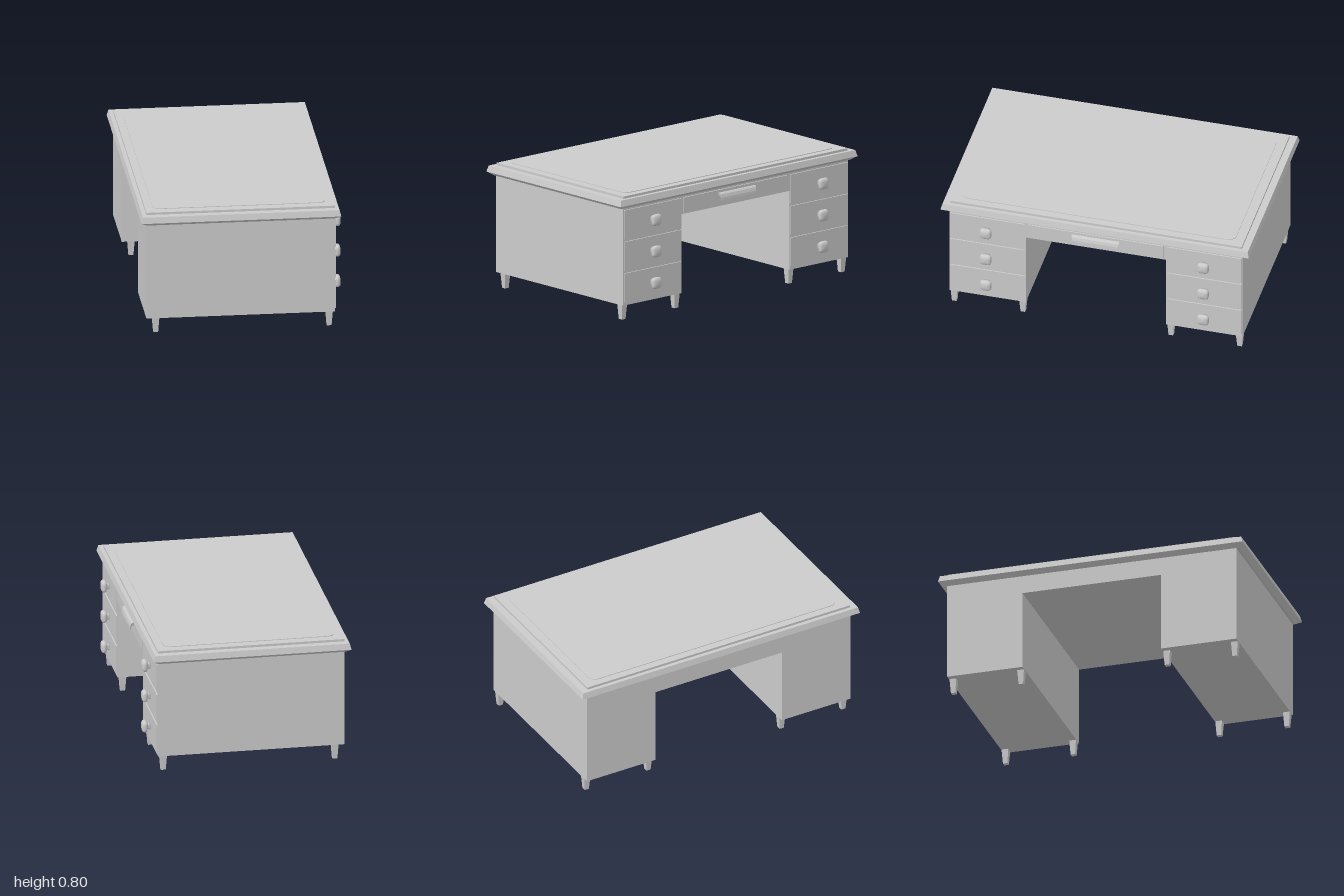
import * as THREE from 'three';

const material = new THREE.MeshStandardMaterial({ color: 0xcccccc });

export function createModel() {
  const desk = new THREE.Group();

  function add(name, geometry, x = 0, y = 0, z = 0, parent = desk) {
    const mesh = new THREE.Mesh(geometry, material);
    mesh.name = name;
    mesh.position.set(x, y, z);
    parent.add(mesh);
    return mesh;
  }

  // box given by its limits; grow widens (or narrows) the top outline in x and z
  function block(name, [x0, x1], [y0, y1], [z0, z1], grow = 0, parent = desk) {
    const geometry = new THREE.BoxGeometry(x1 - x0, y1 - y0, z1 - z0);
    const p = geometry.attributes.position;
    for (let i = 0; i < p.count; i++) {
      if (p.getY(i) < 0) continue;
      p.setX(i, p.getX(i) + Math.sign(p.getX(i)) * grow);
      p.setZ(i, p.getZ(i) + Math.sign(p.getZ(i)) * grow);
    }
    geometry.computeVertexNormals();
    return add(name, geometry, (x0 + x1) / 2, (y0 + y1) / 2, (z0 + z1) / 2, parent);
  }

  // Moulded top: sloping underside, tapered edge, raised board
  block('topUnderside', [-0.61, 0.58], [0.722, 0.746], [-0.965, 0.965], 0.035);
  block('topEdge', [-0.645, 0.615], [0.746, 0.785], [-1, 1], -0.01);
  block('topBoard', [-0.61, 0.58], [0.785, 0.8], [-0.945, 0.945]);

  // Writing pad with rounded corners
  const [w, d, r] = [0.545, 0.885, 0.055];
  const padShape = new THREE.Shape();
  padShape.moveTo(-w + r, -d);
  padShape.lineTo(w - r, -d);
  padShape.quadraticCurveTo(w, -d, w, -d + r);
  padShape.lineTo(w, d - r);
  padShape.quadraticCurveTo(w, d, w - r, d);
  padShape.lineTo(-w + r, d);
  padShape.quadraticCurveTo(-w, d, -w, d - r);
  padShape.lineTo(-w, -d + r);
  padShape.quadraticCurveTo(-w, -d, -w + r, -d);
  const padGeometry = new THREE.ExtrudeGeometry(padShape, { depth: 0.004, bevelEnabled: false, curveSegments: 6 });
  padGeometry.rotateX(-Math.PI / 2);
  add('writingPad', padGeometry, -0.015, 0.8, 0);

  // Knob: turned profile squeezed to a rounded square, pointing along +x
  const profile = [[0, 0], [0.021, 0], [0.018, 0.008], [0.018, 0.018], [0.029, 0.02], [0.035, 0.025],
    [0.037, 0.033], [0.035, 0.043], [0.028, 0.05], [0.014, 0.053], [0, 0.054]];
  const knobGeometry = new THREE.LatheGeometry(profile.map(([a, b]) => new THREE.Vector2(a, b)), 32);
  const kp = knobGeometry.attributes.position;
  for (let i = 0; i < kp.count; i++) {
    const [x, z] = [kp.getX(i), kp.getZ(i)];
    const radius = Math.hypot(x, z);
    if (radius < 1e-6) continue;
    const k = radius / Math.pow(x ** 4 + z ** 4, 0.25);
    kp.setX(i, x * k);
    kp.setZ(i, z * k);
  }
  knobGeometry.computeVertexNormals();
  knobGeometry.rotateZ(-Math.PI / 2);

  // Two pedestals with drawers and tapered feet
  for (const side of [1, -1]) {
    const pedestal = new THREE.Group();
    pedestal.name = side > 0 ? 'leftPedestal' : 'rightPedestal';
    desk.add(pedestal);
    const span = (a, b) => (side > 0 ? [a, b] : [-b, -a]);

    block('pedestalBody', [-0.61, 0.58], [0.095, 0.723], span(0.455, 0.95), 0, pedestal);
    for (let i = 0; i < 3; i++) {
      const y = 0.21 + i * 0.204;
      block('drawerFront', [0.578, 0.588], [y - 0.095, y + 0.093], span(0.463, 0.943), 0, pedestal);
      add('drawerKnob', knobGeometry, 0.588, y, side * 0.705, pedestal);
    }
    for (const x of [-0.55, 0.545]) {
      for (const z of [0.48, 0.925]) {
        block('foot', [x - 0.015, x + 0.015], [0, 0.096], span(z - 0.015, z + 0.015), 0.007, pedestal);
      }
    }
  }

  // Middle drawer box over the kneehole
  block('middleDrawerBox', [-0.61, 0.58], [0.605, 0.723], [-0.456, 0.456]);
  block('middleDrawerFront', [0.578, 0.588], [0.615, 0.712], [-0.44, 0.44]);

  // Hooded pull, narrowing towards its lower lip
  const pullShape = new THREE.Shape([[0, 0.695], [0, 0.675], [0.01, 0.672], [0.017, 0.662], [0.019, 0.648],
    [0.025, 0.648], [0.024, 0.665], [0.018, 0.685], [0.01, 0.694]].map(([a, b]) => new THREE.Vector2(a, b)));
  const pullGeometry = new THREE.ExtrudeGeometry(pullShape, { depth: 0.31, bevelEnabled: false });
  pullGeometry.translate(0, 0, -0.155);
  const pp = pullGeometry.attributes.position;
  for (let i = 0; i < pp.count; i++) {
    pp.setZ(i, pp.getZ(i) * (1 - 2 * (0.695 - pp.getY(i))));
  }
  pullGeometry.computeVertexNormals();
  add('drawerPull', pullGeometry, 0.587, 0, 0);

  return desk;
}
